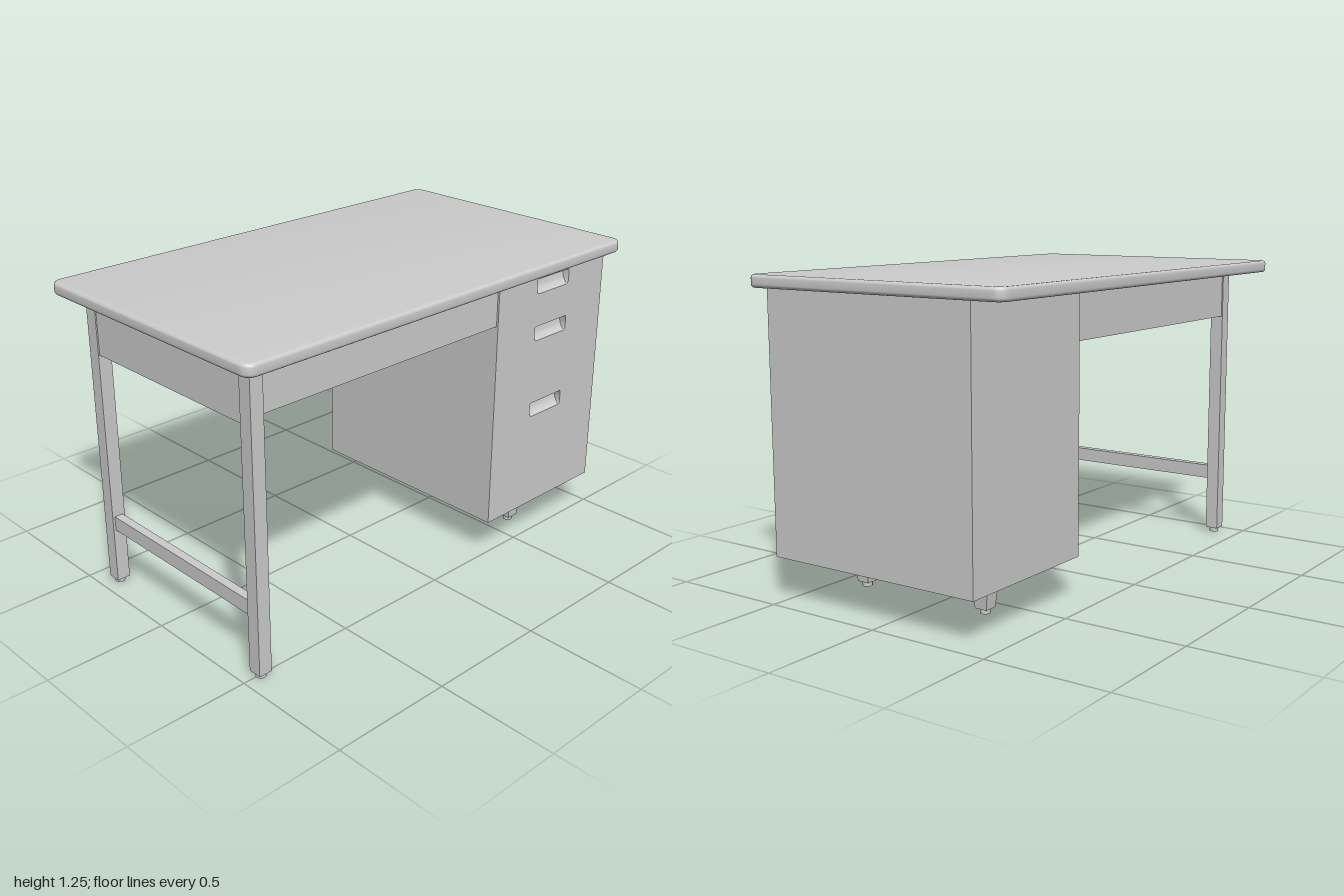
import * as THREE from 'three';
import { toCreasedNormals } from 'three/addons/utils/BufferGeometryUtils.js';

const material = new THREE.MeshStandardMaterial({ color: 0xcccccc });

function add(group, name, geometry) {
  const mesh = new THREE.Mesh(geometry, material);
  mesh.name = name;
  group.add(mesh);
  return mesh;
}

// Box given by its limits on each axis
function block(group, name, [x0, x1], [y0, y1], [z0, z1]) {
  const mesh = add(group, name, new THREE.BoxGeometry(x1 - x0, y1 - y0, z1 - z0));
  mesh.position.set((x0 + x1) / 2, (y0 + y1) / 2, (z0 + z1) / 2);
  return mesh;
}

// Rectangle outline with separate lower and upper corner radii
function roundedRect(path, x0, x1, y0, y1, low, high) {
  path.moveTo(x0 + low, y0);
  path.lineTo(x1 - low, y0);
  path.absarc(x1 - low, y0 + low, low, -Math.PI / 2, 0);
  path.lineTo(x1, y1 - high);
  path.absarc(x1 - high, y1 - high, high, 0, Math.PI / 2);
  path.lineTo(x0 + high, y1);
  path.absarc(x0 + high, y1 - high, high, Math.PI / 2, Math.PI);
  path.lineTo(x0, y0 + low);
  path.absarc(x0 + low, y0 + low, low, Math.PI, Math.PI * 1.5);
  return path;
}

function glide(group, x, z) {
  add(group, 'glide', new THREE.CylinderGeometry(0.02, 0.02, 0.024, 16)).position.set(x, 0.012, z);
}

// Top with rounded corners and softened edges
function buildTop(group) {
  const bevel = 0.013;
  const shape = roundedRect(new THREE.Shape(), -1 + bevel, 1 - bevel, -0.583 + bevel, 0.583 - bevel, 0.03, 0.03);
  const geometry = new THREE.ExtrudeGeometry(shape, {
    depth: 0.05 - 2 * bevel, bevelSize: bevel, bevelThickness: bevel, bevelSegments: 4, curveSegments: 8,
  });
  geometry.rotateX(-Math.PI / 2);
  geometry.translate(0, 1.2 + bevel, 0);
  add(group, 'tabletop', toCreasedNormals(geometry, 0.7));
}

// Drawer cabinet with three scooped finger pulls cut into its front
function buildCabinet(group) {
  const x0 = 0.283, x1 = 0.945, y0 = 0.17, y1 = 1.2, front = 0.533, depth = 0.03;
  const px0 = 0.515, px1 = 0.715, pullHeight = 0.062;
  block(group, 'cabinetBody', [x0, x1], [y0, y1], [-0.415, front - depth]);

  const panel = roundedRect(new THREE.Shape(), x0, x1, y0, y1, 0, 0);
  const scoop = new THREE.Shape();
  scoop.moveTo(0, 0);
  scoop.lineTo(depth, 0);
  scoop.quadraticCurveTo(0.003, 0.006, 0, 0.045);
  scoop.lineTo(0, 0);

  for (const top of [1.175, 0.975, 0.64]) {
    const bottom = top - pullHeight;
    panel.holes.push(roundedRect(new THREE.Path(), px0, px1, bottom, top, 0.015, 0.005));
    const geometry = new THREE.ExtrudeGeometry(scoop, { depth: px1 - px0, bevelEnabled: false, curveSegments: 8 });
    geometry.rotateY(-Math.PI / 2);
    geometry.translate(px1, bottom, front - depth);
    add(group, 'drawerPull', toCreasedNormals(geometry, 0.6));
  }
  const face = new THREE.ExtrudeGeometry(panel, { depth, bevelEnabled: false, curveSegments: 5 });
  face.translate(0, 0, front - depth);
  add(group, 'drawerFronts', toCreasedNormals(face, 0.6));

  // Tapered square feet
  for (const z of [0.37, -0.217]) {
    const foot = new THREE.CylinderGeometry(0.042 * Math.SQRT2, 0.027 * Math.SQRT2, 0.152, 4).toNonIndexed();
    foot.rotateY(Math.PI / 4);
    foot.computeVertexNormals();
    add(group, 'cabinetFoot', foot).position.set(0.615, 0.096, z);
    glide(group, 0.615, z);
  }
}

// Open end frame: two legs, a side apron and a low stretcher
function buildLegFrame(group) {
  const outer = -0.953, inner = -0.897;
  for (const [z0, z1] of [[0.477, 0.533], [-0.415, -0.359]]) {
    block(group, 'leg', [outer, inner], [0.02, 1.2], [z0, z1]);
    glide(group, (outer + inner) / 2, (z0 + z1) / 2);
  }
  block(group, 'sideApron', [outer + 0.005, inner - 0.012], [1.0, 1.2], [-0.36, 0.478]);
  block(group, 'stretcher', [outer + 0.01, inner - 0.01], [0.25, 0.31], [-0.36, 0.478]);
}

// Shallow centre drawer with its rail, and the back apron
function buildKneeSpace(group) {
  const span = [-0.897, 0.283];
  block(group, 'centreDrawer', span, [1.035, 1.18], [-0.39, 0.525]);
  block(group, 'frontRail', span, [1.18, 1.2], [0.47, 0.515]);
  block(group, 'backApron', span, [1.0, 1.2], [-0.41, -0.39]);
}

export function createModel() {
  const desk = new THREE.Group();
  desk.name = 'desk';
  const parts = { top: buildTop, cabinet: buildCabinet, legFrame: buildLegFrame, kneeSpace: buildKneeSpace };
  for (const [name, build] of Object.entries(parts)) {
    const group = new THREE.Group();
    group.name = name;
    build(group);
    desk.add(group);
  }
  return desk;
}
